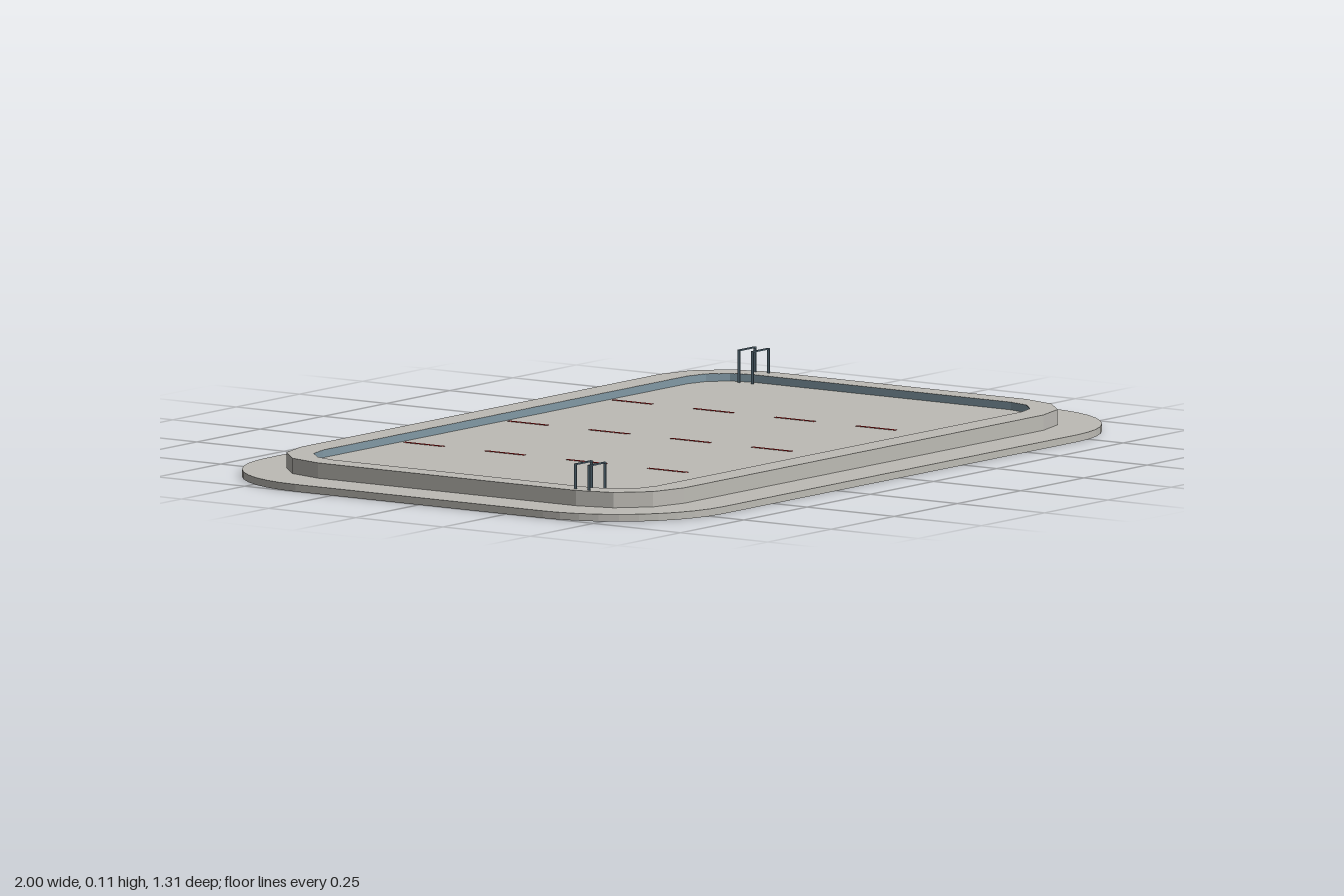
import * as THREE from 'three';

// Points of a rounded rectangle with faceted corners
function roundedPoints(halfX, halfZ, radius, segments) {
  const points = [];
  const corners = [[1, 1], [-1, 1], [-1, -1], [1, -1]];
  corners.forEach(([sx, sz], i) => {
    for (let k = 0; k <= segments; k++) {
      const a = (i + k / segments) * Math.PI / 2;
      points.push(new THREE.Vector2(
        sx * (halfX - radius) + radius * Math.cos(a),
        sz * (halfZ - radius) + radius * Math.sin(a)));
    }
  });
  return points;
}

// Flat slab or ring lying between two heights
function slab(name, material, outer, inner, y0, y1) {
  const shape = new THREE.Shape(roundedPoints(...outer));
  if (inner) shape.holes.push(new THREE.Path(roundedPoints(...inner)));
  const geometry = new THREE.ExtrudeGeometry(shape, { depth: y1 - y0, bevelEnabled: false });
  geometry.rotateX(-Math.PI / 2).translate(0, y0, 0);
  const mesh = new THREE.Mesh(geometry, material);
  mesh.name = name;
  return mesh;
}

function box(name, material, w, h, d, x, y, z) {
  const mesh = new THREE.Mesh(new THREE.BoxGeometry(w, h, d), material);
  mesh.position.set(x, y, z);
  mesh.name = name;
  return mesh;
}

export function createModel() {
  const make = (name, color) => {
    const m = new THREE.MeshStandardMaterial({ color });
    m.name = name;
    return m;
  };
  const stone = make('stone grey', 0xbdbbb5);
  const tile = make('tile blue grey', 0x8299a5);
  const steel = make('blue steel', 0x647c8a);
  const red = make('lane red', 0xc02a2a);

  const model = new THREE.Group();
  model.name = 'pool';
  const floorY = 0.035, rimY = 0.053;

  // Deck, basin floor, raised rim and the tile band lining it
  model.add(slab('deck', stone, [1, 0.655, 0.3, 10], null, 0, 0.017));
  model.add(slab('basinFloor', stone, [0.85, 0.5, 0.13, 3], null, 0.01, floorY));
  model.add(slab('rim', stone, [0.89, 0.55, 0.18, 3], [0.83, 0.48, 0.11, 3], 0.01, rimY));
  model.add(slab('tileBand', tile, [0.8305, 0.4805, 0.1105, 3], [0.8293, 0.4793, 0.1093, 3], floorY - 0.005, rimY - 0.0005));

  // Dashed lane lines, painted flat on the floor
  const lanes = new THREE.Group();
  lanes.name = 'laneLines';
  for (const x of [-0.412, 0, 0.412]) {
    for (let i = 0; i < 4; i++) {
      lanes.add(box('laneDash', red, 0.009, 0.001, 0.113, x, floorY + 0.0005, -0.412 + i * 0.233));
    }
  }
  model.add(lanes);

  // Two handrail ladders of flat bars in opposite corners
  const thin = 0.003, wide = 0.007, top = 0.112;
  for (const side of [1, -1]) {
    const ladder = new THREE.Group();
    ladder.name = side > 0 ? 'leftLadder' : 'rightLadder';
    for (const z of [0.354, 0.393]) {
      ladder.add(box('railTop', steel, 0.066, thin, wide, 0.838, top - thin / 2, -z));
      ladder.add(box('outerPost', steel, thin, top - rimY, wide, 0.8695, (top + rimY) / 2, -z));
      ladder.add(box('innerPost', steel, thin, top - floorY, wide, 0.8065, (top + floorY) / 2, -z));
    }
    if (side < 0) ladder.rotation.y = Math.PI;
    model.add(ladder);
  }
  return model;
}
